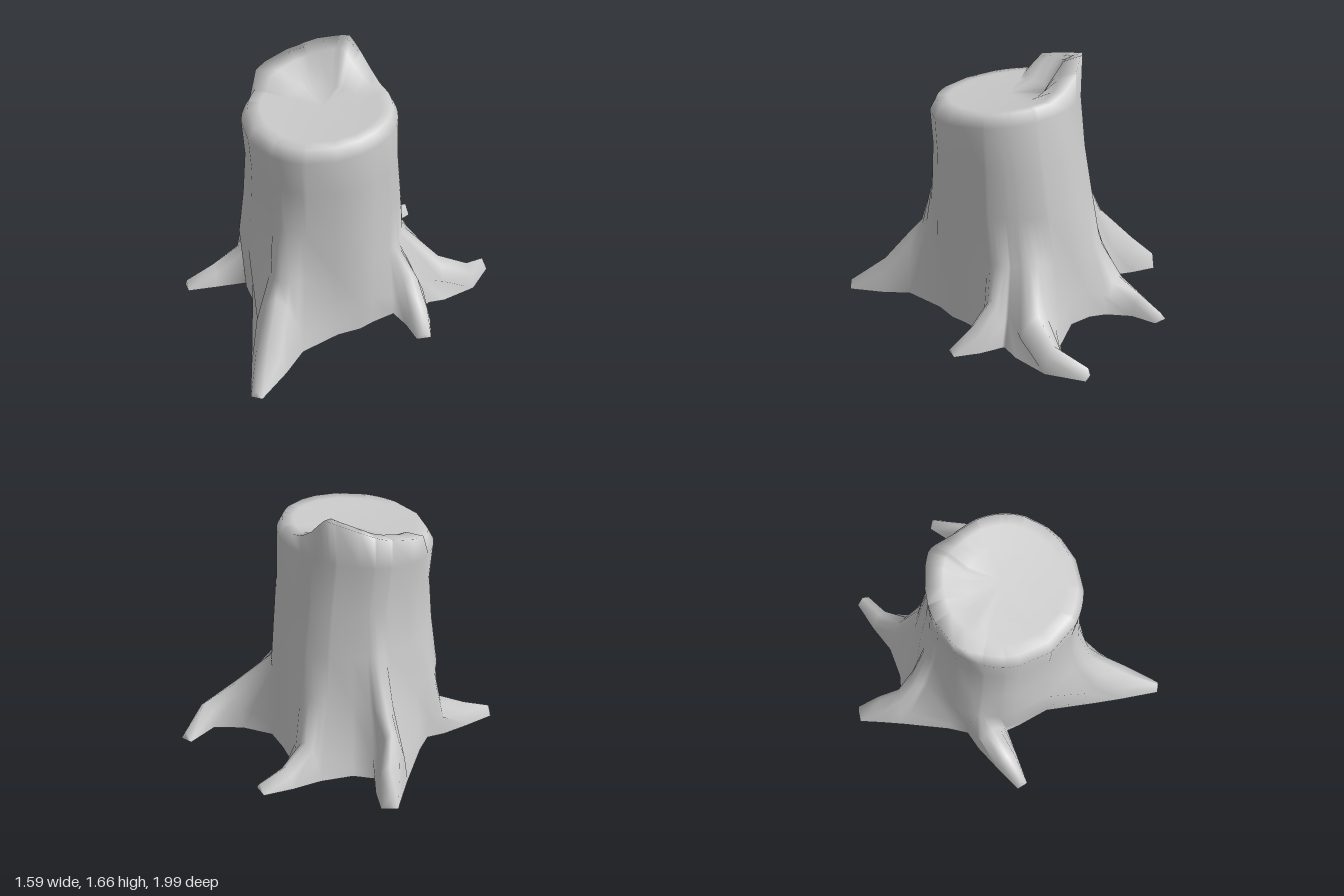
import * as THREE from 'three';
import { mergeVertices } from 'three/addons/utils/BufferGeometryUtils.js';

const V = (x, y, z) => new THREE.Vector3(x, y, z);
const lerp = THREE.MathUtils.lerp;

// Each root: ridge points at foot, middle and tip, half-widths there,
// ground height of the tip, flare up the trunk, and the valley points after it.
const ROOTS = [
  { foot: [0.54, 0.33, -0.18], mid: [0.65, 0.2, -0.12], tip: [0.76, 0.08, -0.03], w: [0.11, 0.08, 0.045], g: 0.04, flare: 0,
    valleys: [[0.44, 0.06, 0.06], [0.42, 0.06, 0.16], [0.35, 0.06, 0.29]] },
  { foot: [0.14, 0.43, 0.61], mid: [0.21, 0.22, 0.77], tip: [0.295, 0.05, 0.98], w: [0.16, 0.11, 0.035], g: 0, flare: 0.1,
    valleys: [[-0.2, 0.09, 0.42], [-0.37, 0.09, 0.31]] },
  { foot: [-0.52, 0.28, 0.2], mid: [-0.61, 0.18, 0.35], tip: [-0.7, 0.1, 0.505], w: [0.11, 0.075, 0.035], g: 0.04, flare: 0,
    valleys: [[-0.56, 0.07, 0.04], [-0.59, 0.07, -0.08]] },
  { foot: [-0.61, 0.41, -0.41], mid: [-0.68, 0.28, -0.52], tip: [-0.765, 0.15, -0.635], w: [0.1, 0.08, 0.05], g: 0.07, flare: 0.09,
    valleys: [[-0.42, 0.07, -0.53]] },
  { foot: [-0.17, 0.28, -0.66], mid: [-0.15, 0.2, -0.82], tip: [-0.085, 0.15, -0.985], w: [0.12, 0.07, 0.045], g: 0.09, flare: 0,
    valleys: [[0.07, 0.09, -0.59], [0.2, 0.09, -0.535]] },
  { foot: [0.53, 0.3, -0.48], mid: [0.64, 0.2, -0.64], tip: [0.625, 0.11, -0.85], w: [0.15, 0.08, 0.038], g: 0.04, flare: 0,
    valleys: [[0.6, 0.07, -0.3]] },
];

// Point on a trunk section with extents [-x, +x, -z, +z]
function section(ext, angle, y, scale = 1) {
  const c = Math.cos(angle), s = Math.sin(angle);
  return V((c < 0 ? ext[0] : ext[1]) * c * scale, y, (s < 0 ? ext[2] : ext[3]) * s * scale);
}

// Torn splinter left standing along the back of the cut: [degrees, height]
const LIP = [[168, 0], [175, 0.08], [188, 0.09], [216, 0.125], [236, 0.175], [256, 0.205], [270, 0.06], [290, 0]];
function lipHeight(angle) {
  const a = (THREE.MathUtils.radToDeg(angle) + 360) % 360;
  for (let i = 1; i < LIP.length; i++) {
    const [a0, h0] = LIP[i - 1], [a1, h1] = LIP[i];
    if (a >= a0 && a <= a1) return lerp(h0, h1, (a - a0) / (a1 - a0));
  }
  return 0;
}

// Cut face and trunk points of one column, from the centre of the cut downwards
function upperColumn(angle, flare) {
  const rim = [0.49, 0.45, 0.41, 0.47];
  const lip = lipHeight(angle);
  const onCut = (scale, up) => {
    const p = section(rim, angle, 0, scale);
    p.y = 1.412 - 0.115 * p.z + up;
    return p;
  };
  return [
    onCut(0, -0.01),
    onCut(0.5, -0.01),
    onCut(0.77, lip * 0.85),
    onCut(0.92 + Math.min(0.09, lip), lip),
    onCut(1, -0.07),
    section([0.47, 0.44, 0.45, 0.455], angle, 1.08),
    section([0.495, 0.445, 0.5, 0.465], angle, 0.8, 1 + flare * 0.25),
    section([0.55, 0.445, 0.55, 0.47], angle, 0.5, 1 + flare * 2),
  ];
}

// Seven columns across a root (side = -3..3) running out along it
function rootColumns(root) {
  const [foot, mid, tip] = [root.foot, root.mid, root.tip].map((p) => V(...p));
  const across = (from, to) => V(from.z - to.z, 0, to.x - from.x).normalize();
  const at = (p, n, offset, y) => V(p.x + n.x * offset, y, p.z + n.z * offset);
  const nFoot = across(foot, mid), nMid = across(foot, tip), nTip = across(mid, tip);
  const [wFoot, wMid, wTip] = root.w;
  const gMid = (root.g + 0.06) / 2;
  const columns = [];
  for (let side = -3; side <= 3; side++) {
    const k = Math.abs(side), sign = Math.sign(side);
    const footSide = at(foot, nFoot, sign * wFoot * [0, 0.42, 0.78, 1][k], lerp(0.06, foot.y, [1, 0.85, 0.5, 0][k]));
    const angle = Math.atan2(footSide.z, footSide.x);
    const upper = upperColumn(angle, root.flare * [1, 0.8, 0.5, 0.2][k]);
    const midSide = k === 3 ? footSide
      : at(mid, nMid, sign * wMid * [0, 0.7, 1][k], lerp(gMid, mid.y, [1, 0.65, 0][k]));
    const tipSide = k > 1 ? midSide : at(tip, nTip, sign * wTip, k ? root.g : tip.y);
    // The ridge drops to the ground to close the blunt end
    const end = k ? tipSide : at(tip, nTip, 0, root.g);
    const first = k === 3 ? upper[7].clone().lerp(footSide, 0.7) : footSide;
    columns.push([...upper, first, midSide, tipSide, end]);
  }
  return columns;
}

// Column in the hollow between two roots
function valleyColumn(point) {
  const end = V(...point);
  const upper = upperColumn(Math.atan2(end.z, end.x), 0);
  const start = upper[7];
  return [...upper, start.clone().lerp(end, 0.6), start.clone().lerp(end, 0.85), end, end];
}

export function createModel() {
  const group = new THREE.Group();
  group.name = 'treeStump';
  const columns = ROOTS.flatMap((root) => [...rootColumns(root), ...root.valleys.map(valleyColumn)]);
  const n = columns.length, rings = columns[0].length;

  // Skin the columns ring by ring, open underneath
  const points = [], index = [];
  for (let r = 0; r < rings; r++) for (const column of columns) points.push(column[r]);
  for (let r = 0; r < rings - 1; r++) {
    for (let j = 0; j < n; j++) {
      const a = r * n + j, b = r * n + (j + 1) % n;
      index.push(a, b, a + n, b, b + n, a + n);
    }
  }
  let skin = new THREE.BufferGeometry().setFromPoints(points);
  skin.setIndex(index);
  skin = mergeVertices(skin, 1e-4);
  skin.computeVertexNormals();

  // Split into named parts that share their normals, so the seams stay smooth
  const material = new THREE.MeshStandardMaterial({ color: 0xcccccc, side: THREE.DoubleSide });
  const all = Array.from(skin.index.array);
  const addPart = (name, from, to) => {
    const geometry = new THREE.BufferGeometry();
    geometry.setAttribute('position', skin.attributes.position);
    geometry.setAttribute('normal', skin.attributes.normal);
    geometry.setIndex(all.slice(from * n * 6, to * n * 6));
    const mesh = new THREE.Mesh(geometry, material);
    mesh.name = name;
    group.add(mesh);
  };
  addPart('cutTop', 0, 3);
  addPart('trunk', 3, 7);
  addPart('roots', 7, rings - 1);
  return group;
}
